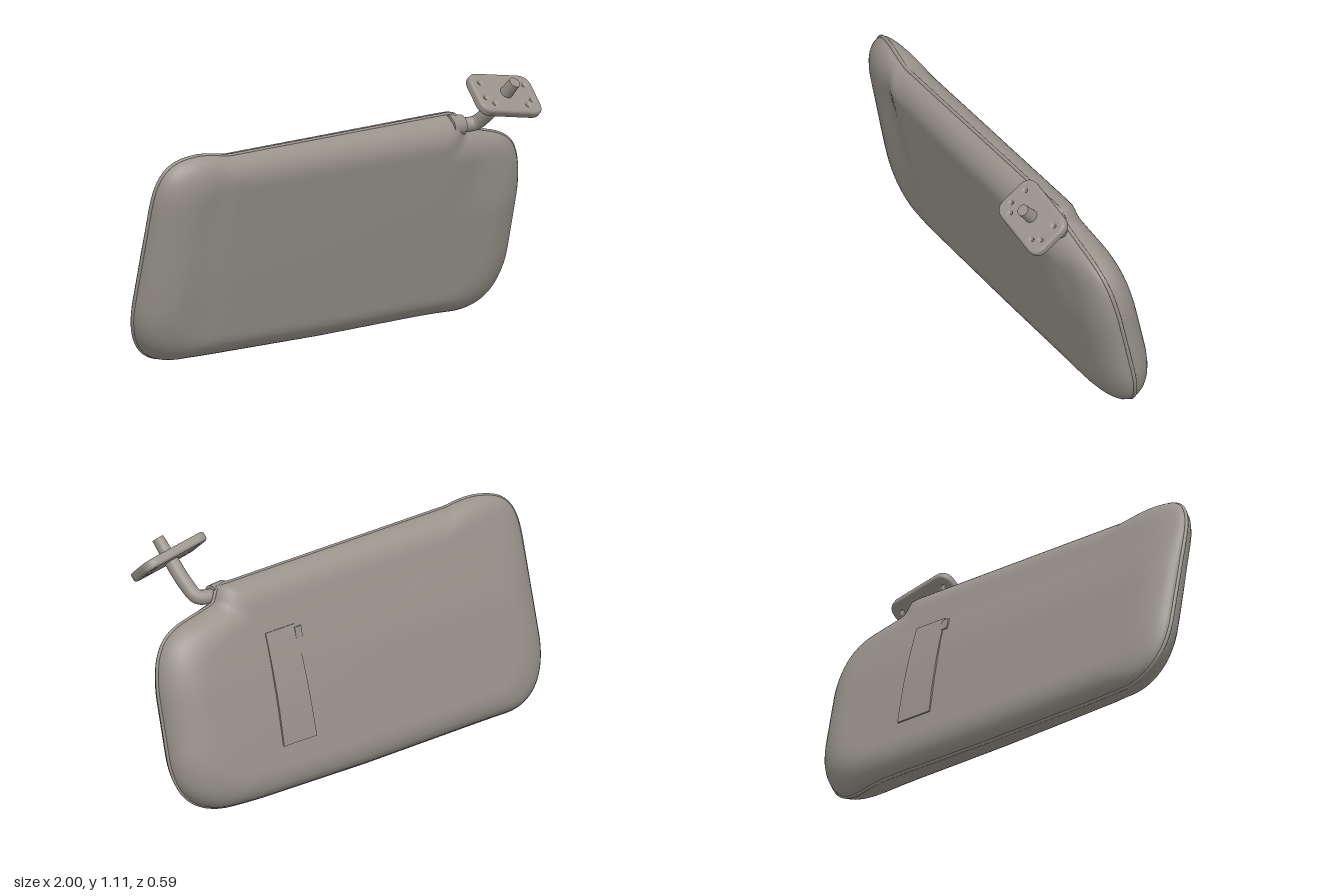
import * as THREE from 'three';

const V = (x, y, z) => new THREE.Vector3(x, y, z);
const smooth = THREE.MathUtils.smoothstep;
const TILT = 0.226, HALF_H = 0.485, HALF_T = 0.115;

// Panel outline in its own plane: rounded corners, notch at the upper left for the arm
function panelOutline() {
  const s = new THREE.Shape();
  s.moveTo(-0.78, -0.472);
  s.lineTo(0, -0.481);
  s.lineTo(0.74, -0.474);
  s.bezierCurveTo(0.9, -0.465, 0.985, -0.36, 0.99, -0.2);
  s.lineTo(0.993, 0.08);
  s.bezierCurveTo(0.985, 0.26, 0.93, 0.33, 0.8, 0.36);
  s.lineTo(0.66, 0.395);
  s.bezierCurveTo(0.63, 0.4, 0.635, 0.465, 0.6, 0.468);
  s.lineTo(-0.64, 0.468);
  s.bezierCurveTo(-0.7, 0.48, -0.76, 0.486, -0.8, 0.478);
  s.bezierCurveTo(-0.93, 0.46, -0.975, 0.4, -0.982, 0.26);
  s.lineTo(-0.992, -0.2);
  s.bezierCurveTo(-0.99, -0.37, -0.91, -0.465, -0.78, -0.472);
  return s.getSpacedPoints(220).slice(0, -1);
}

// The seam wanders: forward at one end, backward at the other end and the bottom
const seamOffset = (x, y) =>
  0.025 * smooth(x, 0.5, 0.95) - 0.045 * smooth(-x, 0.6, 0.95) - 0.035 * smooth(-y, 0.36, 0.47) * (1 - smooth(Math.abs(x), 0.6, 0.95));

// Padding thickness varies over the front and back faces
function padding(x, y, w) {
  if (w < 0) return 1 - 0.17 * smooth(y, 0.03, 0.4);
  const slant = 1 - 0.2 * THREE.MathUtils.clamp((0.6 - x) / 1.25, 0, 1);
  const tuck = smooth(-x, 0.63, 0.7) * (0.04 + 0.1 * smooth(y, -0.15, 0.3));
  const notch = 0.16 * smooth(x, 0.58, 0.75) * smooth(y, 0, 0.3);
  return slant - tuck - notch;
}

// Padded slab: rings run from the back centre over the rim to the front centre
function panelGeometry(outline) {
  const half = [];
  for (let i = 0; i <= 9; i++) {
    const a = (i / 9) * Math.PI / 2, inset = 1 - Math.cos(a);
    half.push({ u: 1 - 0.18 * inset, v: 1 - 0.125 * inset / HALF_H, w: HALF_T * Math.sin(a) });
  }
  const edge = half[9];
  for (let i = 1; i <= 18; i++) {
    const k = 1 - i / 18;
    half.push({ u: edge.u * k, v: edge.v * k, w: HALF_T + 0.002 * (1 - k) });
  }
  const rings = [...half.slice(1).reverse().map(r => ({ ...r, w: -r.w })), ...half];
  const n = outline.length, pos = [], idx = [];
  rings.forEach((r, i) => outline.forEach((p, j) => {
    const x = p.x * r.u, y = p.y * r.v;
    const nearRim = Math.max(0, 1 - Math.abs(r.w) / HALF_T);
    pos.push(x, y, r.w * padding(x, y, r.w) + seamOffset(p.x, p.y) * nearRim);
    if (i < rings.length - 1) {
      const a = i * n + j, b = i * n + (j + 1) % n;
      idx.push(a, b, b + n, a, b + n, a + n);
    }
  }));
  const g = new THREE.BufferGeometry();
  g.setAttribute('position', new THREE.Float32BufferAttribute(pos, 3));
  g.setIndex(idx);
  g.computeVertexNormals();
  return g;
}

// Rounded mounting plate with screw holes
function plateGeometry() {
  const w = 0.155, h = 0.092, r = 0.045, s = new THREE.Shape();
  s.moveTo(-w + r, -h);
  s.lineTo(w - r, -h);
  s.quadraticCurveTo(w, -h, w, -h + r);
  s.lineTo(w, h - r);
  s.quadraticCurveTo(w, h, w - r, h);
  s.lineTo(-w + r, h);
  s.quadraticCurveTo(-w, h, -w, h - r);
  s.lineTo(-w, -h + r);
  s.quadraticCurveTo(-w, -h, -w + r, -h);
  for (const side of [-1, 1]) {
    for (const [x, y] of [[0.12, 0.05], [0.125, -0.03], [0.09, -0.06]]) {
      const hole = new THREE.Path();
      hole.absarc(side * x, y, 0.019, 0, Math.PI * 2, true);
      s.holes.push(hole);
    }
  }
  const g = new THREE.ExtrudeGeometry(s, {
    depth: 0.016, bevelEnabled: true, bevelSize: 0.013, bevelThickness: 0.013, bevelSegments: 4, curveSegments: 10,
  });
  return g.translate(0, 0, -0.008);
}

export function createModel() {
  const model = new THREE.Group();
  const fabric = new THREE.MeshStandardMaterial({ color: 0x98938b });
  fabric.name = 'warmGrey';
  const add = (parent, name, geometry) => {
    const m = new THREE.Mesh(geometry, fabric);
    m.name = name;
    parent.add(m);
    return m;
  };

  // Tilted padded panel
  const panel = new THREE.Group();
  panel.name = 'visorPanel';
  panel.position.set(0, 0.482, -0.1);
  panel.rotation.x = TILT;
  model.add(panel);
  const outline = panelOutline();
  add(panel, 'paddedBody', panelGeometry(outline));

  // Seam welt round the rim
  const rim = new THREE.CatmullRomCurve3(
    outline.filter((_, i) => i % 2 === 0).map(p => V(p.x * 0.998, p.y * 0.993, seamOffset(p.x, p.y))), true);
  add(panel, 'seamWelt', new THREE.TubeGeometry(rim, 220, 0.009, 8, true));

  // Bowed strap on the back, with a small stitched tab
  const strap = new THREE.BoxGeometry(0.16, 0.5, 0.008, 1, 20, 1);
  const p = strap.attributes.position;
  for (let i = 0; i < p.count; i++) {
    const t = p.getY(i) / 0.5 + 0.5;
    p.setX(i, p.getX(i) - (p.getX(i) < 0 ? 0.02 * (1 - t) : 0));
    p.setZ(i, p.getZ(i) - 0.01 * Math.sin(Math.PI * t));
  }
  strap.computeVertexNormals();
  const strapMesh = add(panel, 'backStrap', strap);
  strapMesh.position.set(0.4, -0.02, -0.111);
  strapMesh.rotation.x = 0.025;
  add(panel, 'strapTab', new THREE.BoxGeometry(0.035, 0.05, 0.016)).position.set(0.31, 0.19, -0.107);

  // Bent pivot arm and its collar
  const arm = new THREE.CatmullRomCurve3([
    V(0.54, 0.875, 0.03), V(0.63, 0.882, 0.033), V(0.685, 0.89, 0.055), V(0.703, 0.935, 0.108), V(0.715, 1.03, 0.205),
  ]);
  add(model, 'pivotArm', new THREE.TubeGeometry(arm, 40, 0.032, 16));
  const collar = add(model, 'armCollar', new THREE.CylinderGeometry(0.045, 0.05, 0.07, 20));
  collar.position.set(0.59, 0.885, 0.03);
  collar.rotation.z = -Math.PI / 2;

  // Mounting bracket, square to the arm
  const mount = new THREE.Group();
  mount.name = 'mountingBracket';
  const across = V(0.98, -0.18, 0.02).normalize();
  const normal = V(0.127, 0.74, 0.65).normalize();
  const up = normal.clone().cross(across).normalize();
  normal.crossVectors(across, up);
  mount.quaternion.setFromRotationMatrix(new THREE.Matrix4().makeBasis(across, up, normal));
  mount.position.set(0.715, 1.03, 0.206);
  model.add(mount);
  add(mount, 'mountingPlate', plateGeometry());
  const stub = add(mount, 'pivotStub', new THREE.CylinderGeometry(0.026, 0.03, 0.1, 16));
  stub.rotation.x = Math.PI / 2;
  stub.position.z = 0.042;
  return model;
}
